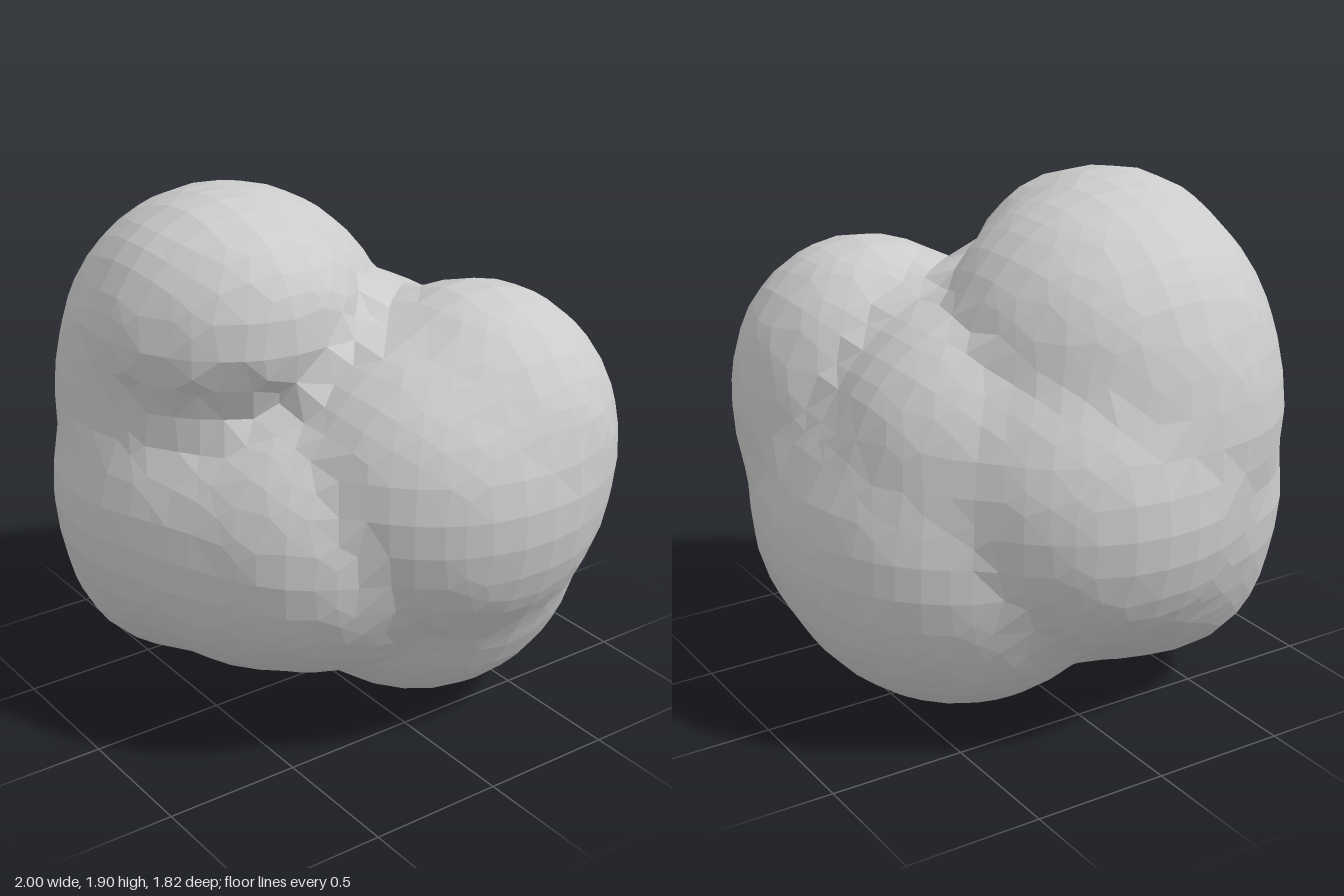
import * as THREE from 'three';

// Overlapping rounded lobes: centre x, y, z, radius x, y, z, and radius y of the lower half
const LOBES = [
  [-0.30, 1.27, 0.22, 0.61, 0.61, 0.61, 0.61], // upper left dome
  [-0.34, 1.12, 0.23, 0.61, 0.61, 0.61, 0.61], // dome base
  [-0.14, 1.42, 0.35, 0.49, 0.49, 0.48, 0.15], // overhanging brow
  [0.06, 1.52, 0.32, 0.29, 0.32, 0.36, 0.22], // brow corner
  [-0.26, 0.78, 0.27, 0.63, 0.66, 0.64, 0.66], // lower front
  [-0.35, 0.55, 0.42, 0.42, 0.42, 0.42, 0.42], // lower front bulge
  [-0.36, 0.88, 0.05, 0.64, 0.64, 0.64, 0.64], // left flank
  [0.40, 0.96, -0.20, 0.60, 0.58, 0.64, 0.66], // right lobe
  [0.45, 1.08, -0.32, 0.52, 0.54, 0.50, 0.54], // right lobe crown
  [0.12, 1.02, -0.12, 0.54, 0.54, 0.54, 0.54], // saddle between dome and right lobe
  [0.22, 0.66, -0.25, 0.62, 0.62, 0.62, 0.64], // lower right
  [0.20, 0.76, 0.18, 0.54, 0.54, 0.55, 0.54], // front right flank
  [0.00, 0.73, 0.24, 0.58, 0.57, 0.58, 0.57], // front centre
  [-0.15, 0.95, -0.20, 0.57, 0.57, 0.57, 0.57], // back ridge
  [-0.03, 0.67, -0.24, 0.71, 0.66, 0.67, 0.67], // bottom back
];

// Distance-like field of the softly joined lobes; negative inside
function field(x, y, z) {
  const k = 0.04;
  let d = 10;
  for (const [cx, cy, cz, rx, ry, rz, low] of LOBES) {
    const q = Math.hypot((x - cx) / rx, (y - cy) / (y < cy ? low : ry), (z - cz) / rz);
    const e = (q - 1) * Math.min(rx, ry, rz, low);
    const blend = Math.max(k - Math.abs(d - e), 0);
    d = Math.min(d, e) - (blend * blend) / (4 * k);
  }
  return d;
}

// Coarse faceted skin: one vertex per crossed cell, one quad per crossed lattice edge
function lobedSkin(step) {
  const n = Math.ceil(2.5 / step) + 1;
  const origin = [-1.25, -0.25, -1.25];
  const stride = [1, n, n * n];
  const at = (i, a) => origin[a] + i * step;
  const values = new Float32Array(n * n * n);
  const cellVertex = new Int32Array(n * n * n).fill(-1);
  const points = [];
  const indices = [];

  for (let k = 0; k < n; k++) for (let j = 0; j < n; j++) for (let i = 0; i < n; i++) {
    values[i + j * n + k * n * n] = field(at(i, 0), at(j, 1), at(k, 2));
  }

  for (let k = 0; k < n - 1; k++) for (let j = 0; j < n - 1; j++) for (let i = 0; i < n - 1; i++) {
    const base = i + j * n + k * n * n;
    const sum = [0, 0, 0];
    let count = 0;
    for (let c = 0; c < 8; c++) for (let a = 0; a < 3; a++) {
      if (c & (1 << a)) continue;
      const corner = [c & 1, (c >> 1) & 1, (c >> 2) & 1];
      const p = base + corner[0] + corner[1] * n + corner[2] * n * n;
      const v0 = values[p], v1 = values[p + stride[a]];
      if ((v0 < 0) === (v1 < 0)) continue;
      corner[a] = v0 / (v0 - v1);
      for (let b = 0; b < 3; b++) sum[b] += corner[b];
      count++;
    }
    if (!count) continue;
    cellVertex[base] = points.length;
    const point = new THREE.Vector3(...[i, j, k].map((g, a) => at(g + sum[a] / count, a)));
    // settle the vertex onto the surface along the field's slope
    for (let pass = 0; pass < 2; pass++) {
      const { x, y, z } = point, e = 0.01, f = field(x, y, z);
      const slope = new THREE.Vector3(field(x + e, y, z) - f, field(x, y + e, z) - f, field(x, y, z + e) - f).divideScalar(e);
      const move = -f / Math.max(slope.lengthSq(), 0.3);
      point.addScaledVector(slope, THREE.MathUtils.clamp(move, -0.02, 0.02));
    }
    points.push(point);
  }

  for (let p = 0; p < values.length; p++) for (let a = 0; a < 3; a++) {
    const next = p + stride[a];
    if (next >= values.length || (values[p] < 0) === (values[next] < 0)) continue;
    const u = stride[(a + 1) % 3], v = stride[(a + 2) % 3];
    const quad = [p - u - v, p - v, p, p - u].map((c) => cellVertex[c]);
    if (values[p] >= 0) quad.reverse();
    const [q0, q1, q2, q3] = quad;
    // split along the shorter diagonal
    if (points[q0].distanceTo(points[q2]) < points[q1].distanceTo(points[q3])) {
      indices.push(q0, q1, q2, q0, q2, q3);
    } else {
      indices.push(q1, q2, q3, q1, q3, q0);
    }
  }

  const geometry = new THREE.BufferGeometry().setFromPoints(points);
  geometry.setIndex(indices);
  geometry.computeVertexNormals();
  return geometry;
}

export function createModel() {
  const group = new THREE.Group();
  group.name = 'lobedBoulder';
  const material = new THREE.MeshStandardMaterial({ color: 0xcccccc, flatShading: true });
  const body = new THREE.Mesh(lobedSkin(0.12), material);
  body.name = 'boulderBody';
  group.add(body);
  return group;
}
